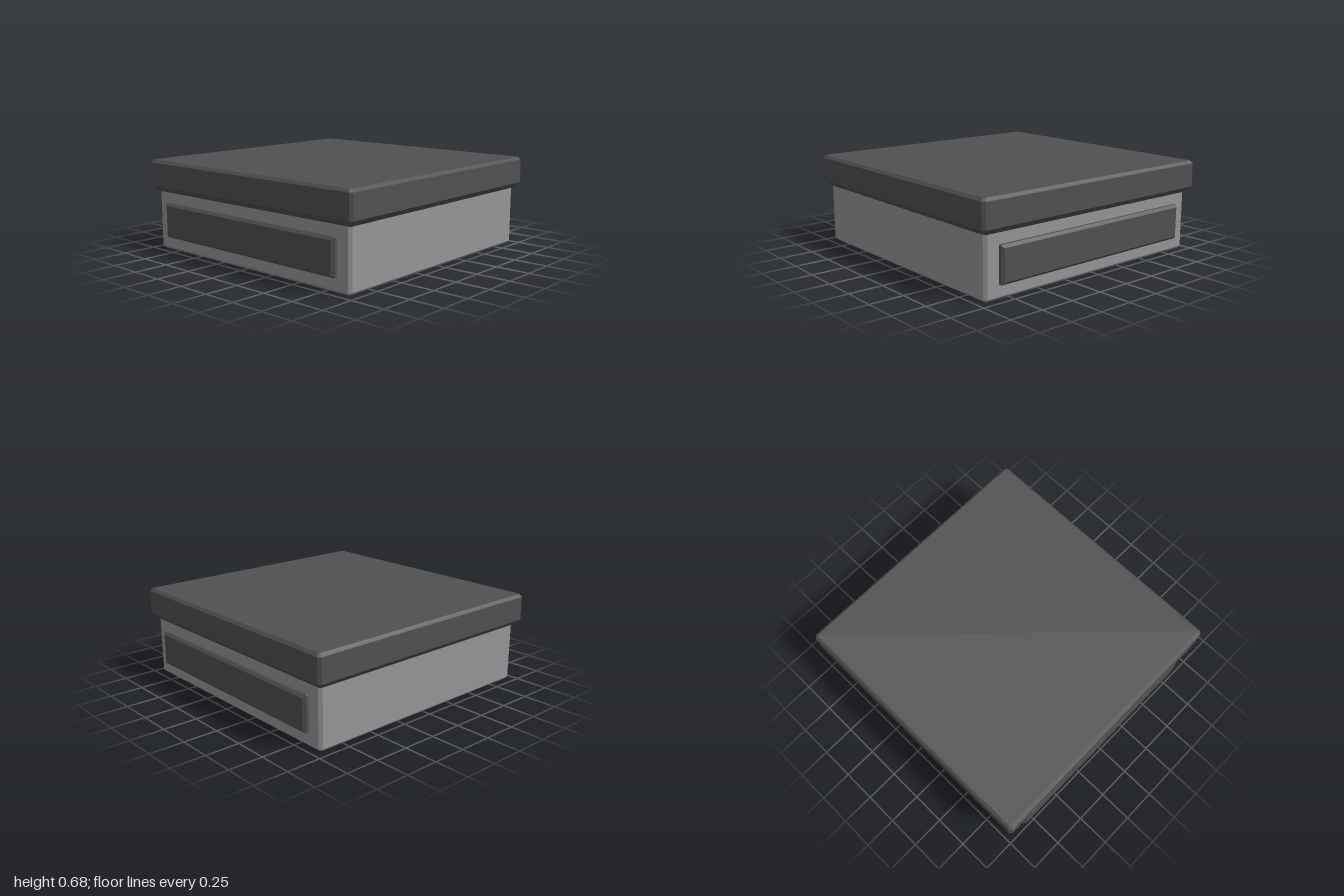
import * as THREE from 'three';

const dark = new THREE.MeshStandardMaterial({ color: 0x505051, flatShading: true });
const grey = new THREE.MeshStandardMaterial({ color: 0x949597, flatShading: true });

// Closed solid lofted through rectangles with cut corners: [height, halfX, halfZ, cut]
function bevelledSolid(sections) {
  const positions = [], index = [];
  for (const [y, hx, hz, c] of sections) {
    const ring = [
      [hx, hz - c], [hx, c - hz], [hx - c, -hz], [c - hx, -hz],
      [-hx, c - hz], [-hx, hz - c], [c - hx, hz], [hx - c, hz],
    ];
    for (const [x, z] of ring) positions.push(x, y, z);
  }
  const top = (sections.length - 1) * 8;
  for (let s = 0; s < top; s += 8) {
    for (let i = 0; i < 8; i++) {
      const a = s + i, b = s + (i + 1) % 8;
      index.push(a, b, b + 8, a, b + 8, a + 8);
    }
  }
  // End caps
  for (let i = 1; i < 7; i++) {
    index.push(0, i + 1, i, top, top + i, top + i + 1);
  }
  const indexed = new THREE.BufferGeometry();
  indexed.setAttribute('position', new THREE.Float32BufferAttribute(positions, 3));
  indexed.setIndex(index);
  const geometry = indexed.toNonIndexed();
  geometry.computeVertexNormals();
  return geometry;
}

function addPart(group, name, geometry, material) {
  const mesh = new THREE.Mesh(geometry, material);
  mesh.name = name;
  group.add(mesh);
  return mesh;
}

export function createModel() {
  const model = new THREE.Group();
  model.name = 'box';

  // Base with bevelled lower edge and corners
  addPart(model, 'base', bevelledSolid([
    [0, 0.933, 0.933, 0.01],
    [0.02, 0.953, 0.953, 0.02],
    [0.45, 0.953, 0.953, 0.02],
  ]), grey);

  // Overhanging lid, sloping in underneath
  addPart(model, 'lid', bevelledSolid([
    [0.437, 0.955, 0.955, 0.01],
    [0.48, 1, 1, 0.02],
    [0.655, 1, 1, 0.02],
    [0.675, 0.98, 0.98, 0.01],
  ]), dark);

  // Matching raised panels on the front and back
  const panel = bevelledSolid([
    [0.94, 0.843, 0.13, 0.004],
    [0.972, 0.843, 0.13, 0.004],
    [0.99, 0.824, 0.111, 0.002],
  ]);
  panel.rotateX(Math.PI / 2);
  for (const [name, turn] of [['frontPanel', 0], ['backPanel', Math.PI]]) {
    const mesh = addPart(model, name, panel, dark);
    mesh.position.y = 0.23;
    mesh.rotation.y = turn;
  }

  return model;
}
